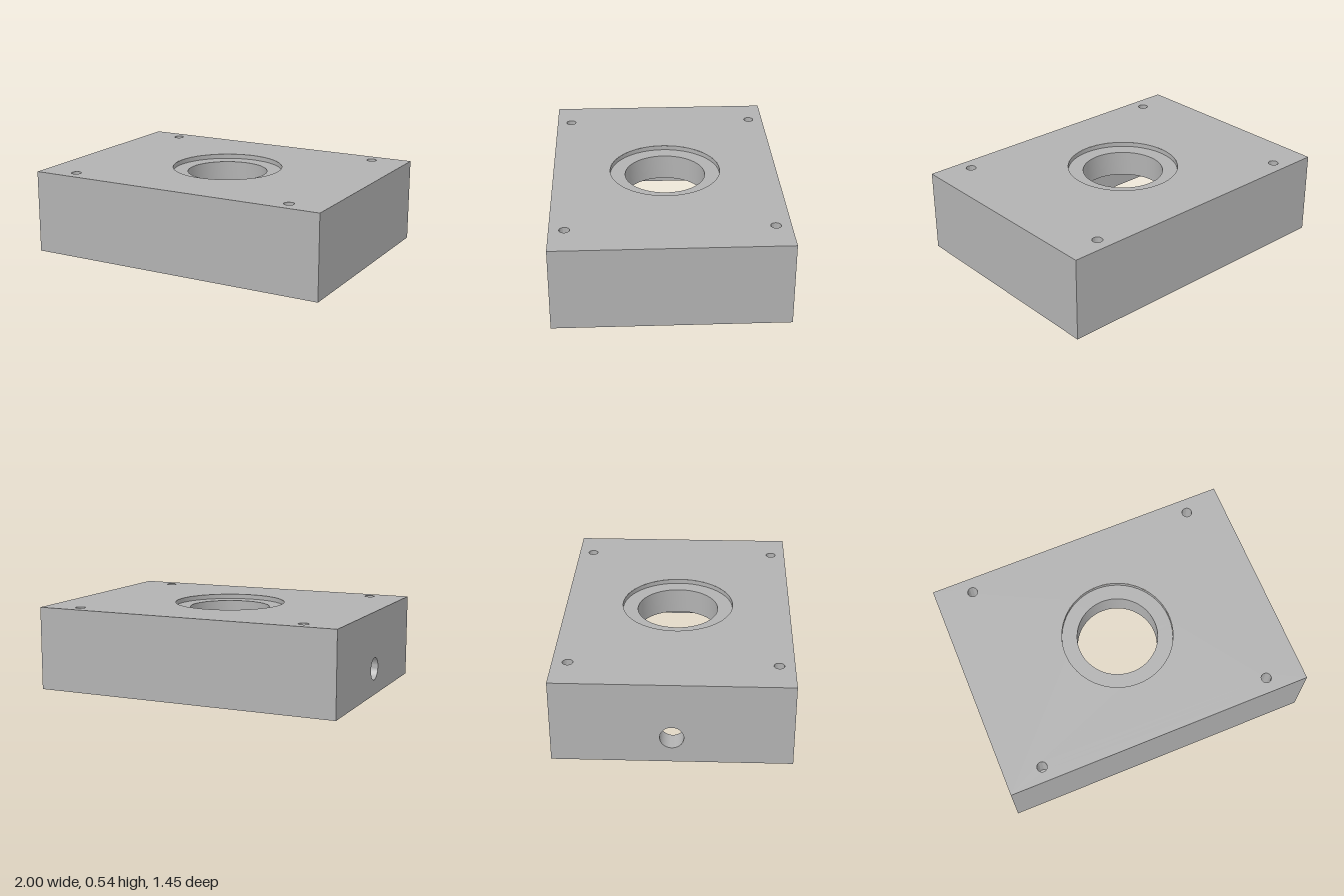
import * as THREE from 'three';
import { toCreasedNormals } from 'three/addons/utils/BufferGeometryUtils.js';

const X = 1, Z = 0.725, H = 0.535;           // outer half width, half depth, height
const IX = 0.865, IZ = 0.59, CEIL = 0.34;    // cavity half width, half depth, ceiling
const BORE = 0.26, RECESS = 0.357, STEP = 0.03;
const PORT = 0.072, PORT_Y = 0.17;
const SEG = 48;

export function createModel() {
  const model = new THREE.Group();
  const metal = new THREE.MeshStandardMaterial({ color: 0xb2b2b2 });
  metal.name = 'grey metal';

  const add = (parent, name, geometry) => {
    const mesh = new THREE.Mesh(geometry, metal);
    mesh.name = name;
    parent.add(mesh);
    return mesh;
  };
  const group = (name) => {
    const g = new THREE.Group();
    g.name = name;
    model.add(g);
    return g;
  };

  const rectangle = (Type, w, h) => new Type([
    new THREE.Vector2(-w, -h), new THREE.Vector2(w, -h),
    new THREE.Vector2(w, h), new THREE.Vector2(-w, h)]);

  // Flat rectangular face with round holes [x, y, radius]
  const face = (w, h, holes = [], window = null) => {
    const shape = rectangle(THREE.Shape, w, h);
    for (const [x, y, r] of holes) {
      shape.holes.push(new THREE.Path().absarc(x, y, r, 0, Math.PI * 2, true));
    }
    if (window) shape.holes.push(window);
    return new THREE.ShapeGeometry(shape, SEG);
  };

  // Inward-facing turned surface, profile listed from top to bottom
  const turned = (points) => toCreasedNormals(
    new THREE.LatheGeometry(points.map(([r, y]) => new THREE.Vector2(r, y)), SEG), 0.6);

  const corners = (x, z) => [[x, z], [-x, z], [x, -z], [-x, -z]];
  const topHoles = corners(0.76, 0.63), topR = 0.032;
  const baseHoles = corners(0.93, 0.655), baseR = 0.025;

  // Outer shell
  const shell = group('outerShell');
  add(shell, 'topFace', face(X, Z, [[0, 0, RECESS], ...topHoles.map(([x, z]) => [x, z, topR])])
    .rotateX(-Math.PI / 2).translate(0, H, 0));
  add(shell, 'bottomRim', face(X, Z, baseHoles.map(([x, z]) => [x, z, baseR]),
    rectangle(THREE.Path, IX, IZ)).rotateX(Math.PI / 2));
  add(shell, 'frontFace', face(X, H / 2).translate(0, H / 2, Z));
  add(shell, 'backFace', face(X, H / 2).rotateY(Math.PI).translate(0, H / 2, -Z));
  add(shell, 'leftFace', face(Z, H / 2).rotateY(Math.PI / 2).translate(X, H / 2, 0));
  add(shell, 'rightFace', face(Z, H / 2, [[0, PORT_Y - H / 2, PORT]])
    .rotateY(-Math.PI / 2).translate(-X, H / 2, 0));

  // Open cavity underneath
  const cavity = group('cavity');
  const c = CEIL / 2;
  add(cavity, 'cavityCeiling', face(IX, IZ, [[0, 0, BORE]])
    .rotateX(Math.PI / 2).translate(0, CEIL, 0));
  add(cavity, 'cavityFrontWall', face(IX, c).rotateY(Math.PI).translate(0, c, IZ));
  add(cavity, 'cavityBackWall', face(IX, c).translate(0, c, -IZ));
  add(cavity, 'cavityLeftWall', face(IZ, c).rotateY(-Math.PI / 2).translate(IX, c, 0));
  add(cavity, 'cavityRightWall', face(IZ, c, [[0, PORT_Y - c, PORT]])
    .rotateY(Math.PI / 2).translate(-IX, c, 0));

  // Stepped centre bore and side port
  add(model, 'centreBore', turned([[RECESS, H], [RECESS, H - STEP], [BORE, H - STEP], [BORE, CEIL]]));
  const half = (X - IX) / 2;
  add(model, 'sidePort', turned([[PORT, half], [PORT, -half]])
    .rotateZ(Math.PI / 2).translate(-X + half, PORT_Y, 0));

  // Blind screw holes, above and below
  const screws = group('screwHoles');
  const topHole = turned([[topR, 0], [topR, -0.2], [0, -0.2]]);
  const baseHole = turned([[0, 0.2], [baseR, 0.2], [baseR, 0]]);
  for (const [x, z] of topHoles) add(screws, 'topScrewHole', topHole).position.set(x, H, z);
  for (const [x, z] of baseHoles) add(screws, 'baseScrewHole', baseHole).position.set(x, 0, z);

  return model;
}
